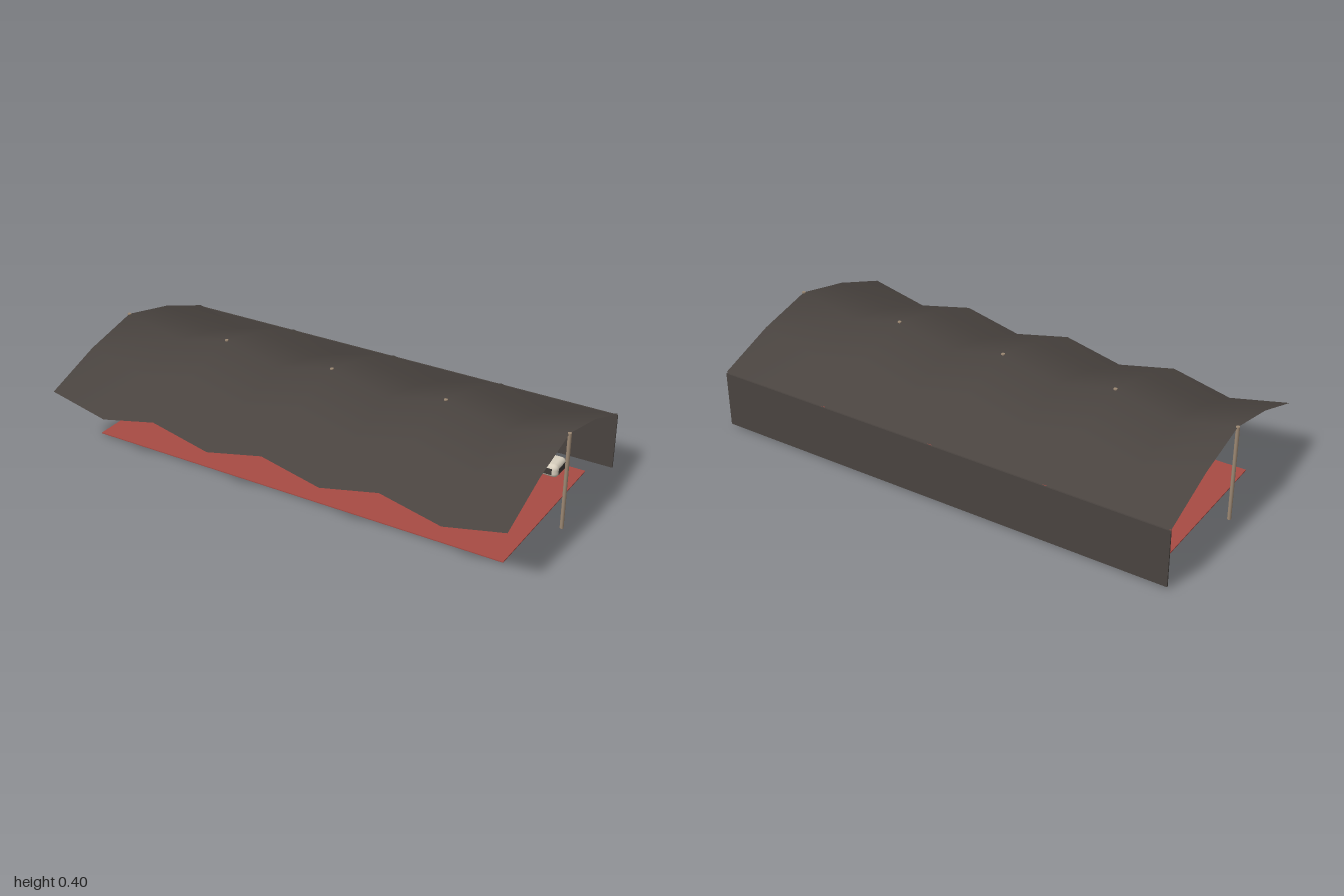
import * as THREE from 'three';
import { RoundedBoxGeometry } from 'three/addons/geometries/RoundedBoxGeometry.js';

const mat = (color, side = THREE.FrontSide) => new THREE.MeshStandardMaterial({ color, side });
const canvasMat = mat(0x4a4440, THREE.DoubleSide);
const floorMat = mat(0xa84b44);
const poleMat = mat(0x9c8873);
const shellMat = mat(0xd8cfbe);
const panelMat = mat(0x403b38);

const WIDTH = 1.985, DEPTH = 0.993;

function add(parent, name, geometry, material, x = 0, y = 0, z = 0) {
  const mesh = new THREE.Mesh(geometry, material);
  mesh.name = name;
  mesh.position.set(x, y, z);
  parent.add(mesh);
  return mesh;
}

// Folded sheet: arched from front to back, zigzag along its length
function roofGeometry() {
  const geo = new THREE.PlaneGeometry(WIDTH, DEPTH, 8, 4).rotateX(-Math.PI / 2);
  const pos = geo.attributes.position;
  const arch = [0.25, 0.341, 0.398, 0.341, 0.25];
  for (let i = 0; i < pos.count; i++) {
    const row = Math.floor(i / 9), column = i % 9;
    pos.setY(i, arch[row] - (column % 2 ? 0.056 : 0));
  }
  geo.computeVertexNormals();
  return geo;
}

// Rounded bench with dark panels let into its four sides
function createBench() {
  const bench = new THREE.Group();
  bench.name = 'bench';
  add(bench, 'benchShell', new RoundedBoxGeometry(0.19, 0.056, 0.1, 4, 0.02), shellMat);
  add(bench, 'benchLongPanel', new THREE.BoxGeometry(0.145, 0.026, 0.102), panelMat);
  add(bench, 'benchEndPanel', new THREE.BoxGeometry(0.192, 0.026, 0.066), panelMat);
  return bench;
}

export function createModel() {
  const model = new THREE.Group();
  model.name = 'openPavilion';

  add(model, 'roof', roofGeometry(), canvasMat);
  add(model, 'backWall', new THREE.BoxGeometry(WIDTH, 0.235, 0.006), canvasMat, 0, 0.1275, -DEPTH / 2);
  add(model, 'floor', new THREE.BoxGeometry(1.82, 0.004, 0.746), floorMat, 0, 0.006, -0.047);

  // Poles under the ridge peaks
  for (let i = -2; i <= 2; i++) {
    add(model, 'pole', new THREE.CylinderGeometry(0.0075, 0.0075, 0.4, 12), poleMat, i * WIDTH / 4, 0.2, 0);
  }

  // Row of benches near the back wall
  for (let i = 0; i < 6; i++) {
    const bench = createBench();
    bench.position.set(-0.747 + i * 0.2988, 0.036, -0.346);
    model.add(bench);
  }
  return model;
}
